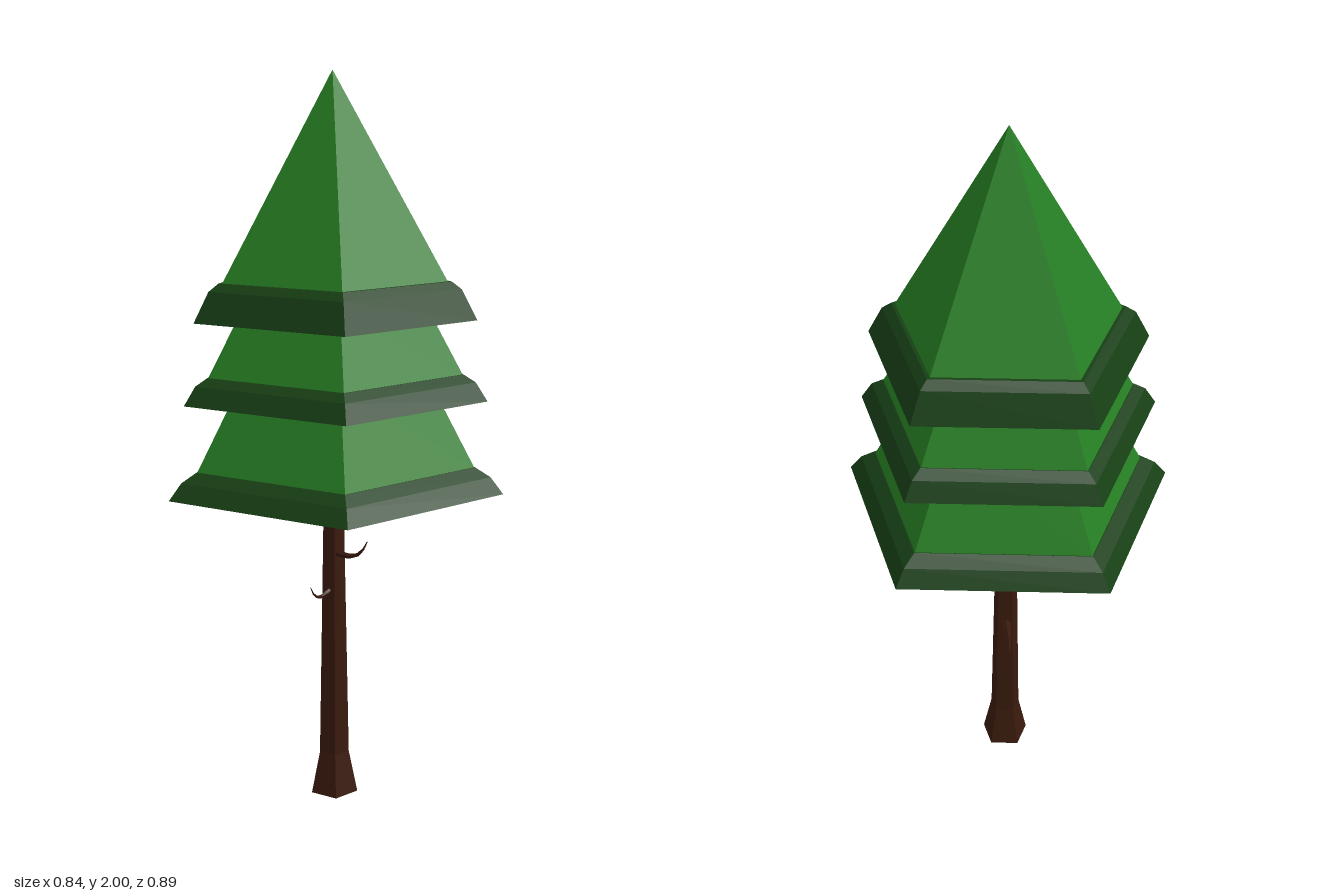
import * as THREE from 'three';

const SIDES = 5;
const AXIS_X = -0.045;

const material = (color) => new THREE.MeshStandardMaterial({ color, flatShading: true, side: THREE.DoubleSide });

// Five-sided solid from a profile of [radius, height], one corner towards +x
function pentagonal(name, profile, mat) {
  const points = profile.map(([r, y]) => new THREE.Vector2(r, y));
  const mesh = new THREE.Mesh(new THREE.LatheGeometry(points, SIDES, Math.PI / 2), mat);
  mesh.name = name;
  return mesh;
}

// Bent twig that thins out towards its tip
function twig(name, path, radius, mat) {
  const curve = new THREE.CatmullRomCurve3(path.map((p) => new THREE.Vector3(...p)));
  const steps = 5, sides = 5;
  const geometry = new THREE.TubeGeometry(curve, steps, radius, sides);
  const pos = geometry.attributes.position;
  const v = new THREE.Vector3();
  for (let i = 0; i <= steps; i++) {
    const centre = curve.getPointAt(i / steps);
    const scale = 1 - 0.88 * (i / steps);
    for (let j = 0; j <= sides; j++) {
      const k = i * (sides + 1) + j;
      v.fromBufferAttribute(pos, k).sub(centre).multiplyScalar(scale).add(centre);
      pos.setXYZ(k, v.x, v.y, v.z);
    }
  }
  geometry.computeVertexNormals();
  const mesh = new THREE.Mesh(geometry, mat);
  mesh.name = name;
  return mesh;
}

export function createModel() {
  const tree = new THREE.Group();
  tree.name = 'pineTree';
  const bark = material(0x3a1a0d);
  const needles = material(0x277f24);
  const darkNeedles = material(0x173f15);

  const body = new THREE.Group();
  body.name = 'treeBody';
  body.position.x = AXIS_X;
  tree.add(body);

  // Trunk with a flared foot
  body.add(pentagonal('trunk', [[0, 0], [0.068, 0], [0.043, 0.12], [0.028, 0.9], [0.027, 0.99]], bark));

  // Foliage tiers: green slope, dark rim around its foot
  const tiers = [
    { name: 'lower', slope: [[0.39, 0.96], [0.25, 1.22]], rim: [[0, 0.98], [0.445, 0.9], [0.467, 0.895], [0.432, 0.94], [0.39, 0.965], [0.37, 0.965]] },
    { name: 'middle', slope: [[0.355, 1.21], [0.25, 1.4]], rim: [[0.22, 1.18], [0.4, 1.15], [0.42, 1.145], [0.388, 1.195], [0.355, 1.215], [0.33, 1.215]] },
    { name: 'upper', slope: [[0.312, 1.455], [0, 2]], rim: [[0.22, 1.4], [0.37, 1.365], [0.389, 1.36], [0.347, 1.44], [0.32, 1.46], [0.29, 1.46]] },
  ];
  for (const { name, slope, rim } of tiers) {
    body.add(pentagonal(name + 'Foliage', slope, needles));
    body.add(pentagonal(name + 'Rim', rim, darkNeedles));
  }

  // Bare twigs on the trunk
  const twigs = [
    [[[-0.05, 0.47, -0.01], [-0.08, 0.478, -0.08], [-0.105, 0.5, -0.14], [-0.125, 0.53, -0.2]], 0.014],
    [[[-0.05, 0.6, 0.02], [-0.065, 0.592, 0.06], [-0.075, 0.602, 0.09], [-0.083, 0.63, 0.107]], 0.008],
    [[[-0.035, 0.71, 0.015], [0.005, 0.708, 0.045], [0.045, 0.725, 0.072], [0.07, 0.765, 0.09]], 0.011],
    [[[-0.05, 0.712, -0.015], [-0.06, 0.707, -0.045], [-0.07, 0.71, -0.075], [-0.08, 0.732, -0.097]], 0.01],
  ];
  twigs.forEach(([path, radius], i) => tree.add(twig('twig' + (i + 1), path, radius, bark)));

  return tree;
}
